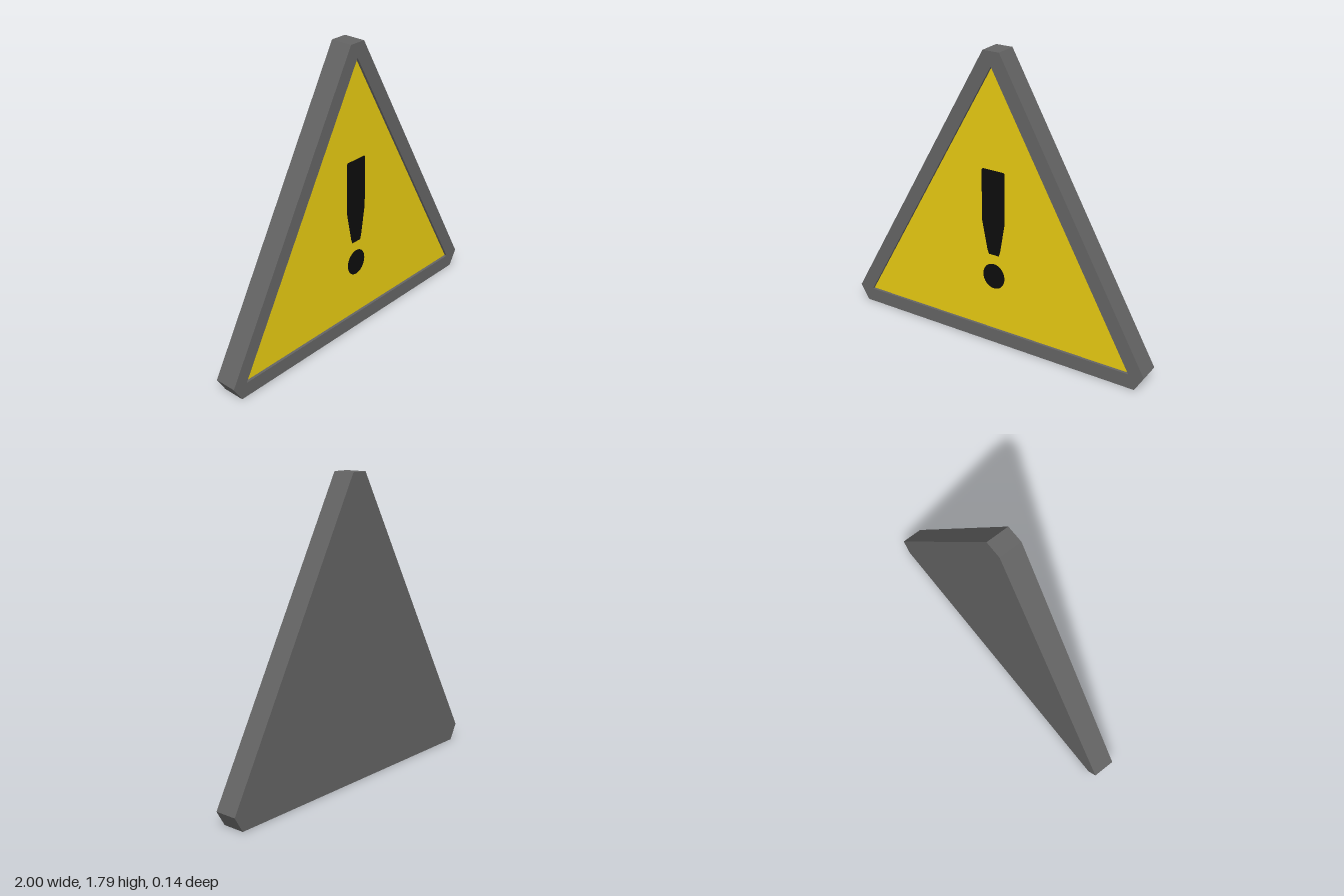
import * as THREE from 'three';

const BACK = -0.068, FRONT = 0.068, FLOOR = 0.05;

const polygon = (points) => new THREE.Shape(points.map(([x, y]) => new THREE.Vector2(x, y)));

// Extrudes a shape between two z positions
function slab(name, shape, z0, z1, material) {
  const geometry = new THREE.ExtrudeGeometry(shape, { depth: z1 - z0, bevelEnabled: false, curveSegments: 24 });
  geometry.translate(0, 0, z0);
  const mesh = new THREE.Mesh(geometry, material);
  mesh.name = name;
  return mesh;
}

// Flat face at one z position
function face(name, shape, z, material) {
  const mesh = new THREE.Mesh(new THREE.ShapeGeometry(shape, 24), material);
  mesh.position.z = z;
  mesh.name = name;
  return mesh;
}

export function createModel() {
  const material = (name, color) => {
    const m = new THREE.MeshStandardMaterial({ color });
    m.name = name;
    return m;
  };
  const grey = material('frame grey', 0x646464);
  const yellow = material('warning yellow', 0xeccf12);
  const black = material('symbol black', 0x0c0c0c);

  const group = new THREE.Group();
  group.name = 'warningSign';

  // Triangle with clipped corners, and the sharp triangle of the recess
  const outline = [[-0.945, 0], [0.945, 0], [1, 0.093], [0.052, 1.793], [-0.052, 1.793], [-1, 0.093]];
  const inner = [[-0.905, 0.088], [0.905, 0.088], [0, 1.708]];

  group.add(slab('backPlate', polygon(outline), BACK, FLOOR, grey));

  // Raised rim around the recess
  const rim = polygon(outline);
  rim.holes.push(polygon(inner));
  group.add(slab('rim', rim, FLOOR, FRONT, grey));

  // Yellow panel on the floor of the recess
  group.add(face('panel', polygon(inner), FLOOR + 0.002, yellow));

  // Exclamation mark: tapered bar and round dot
  const bar = polygon([
    [-0.024, 0.577], [0.044, 0.577], [0.053, 0.605], [0.083, 0.79], [0.083, 1.098],
    [0.076, 1.106], [-0.064, 1.106], [-0.071, 1.098], [-0.071, 0.79], [-0.034, 0.605],
  ]);
  const dot = new THREE.Shape().absellipse(0.01, 0.438, 0.073, 0.08, 0, Math.PI * 2, false, 0);
  group.add(face('markBar', bar, FLOOR + 0.005, black));
  group.add(face('markDot', dot, FLOOR + 0.005, black));

  return group;
}
